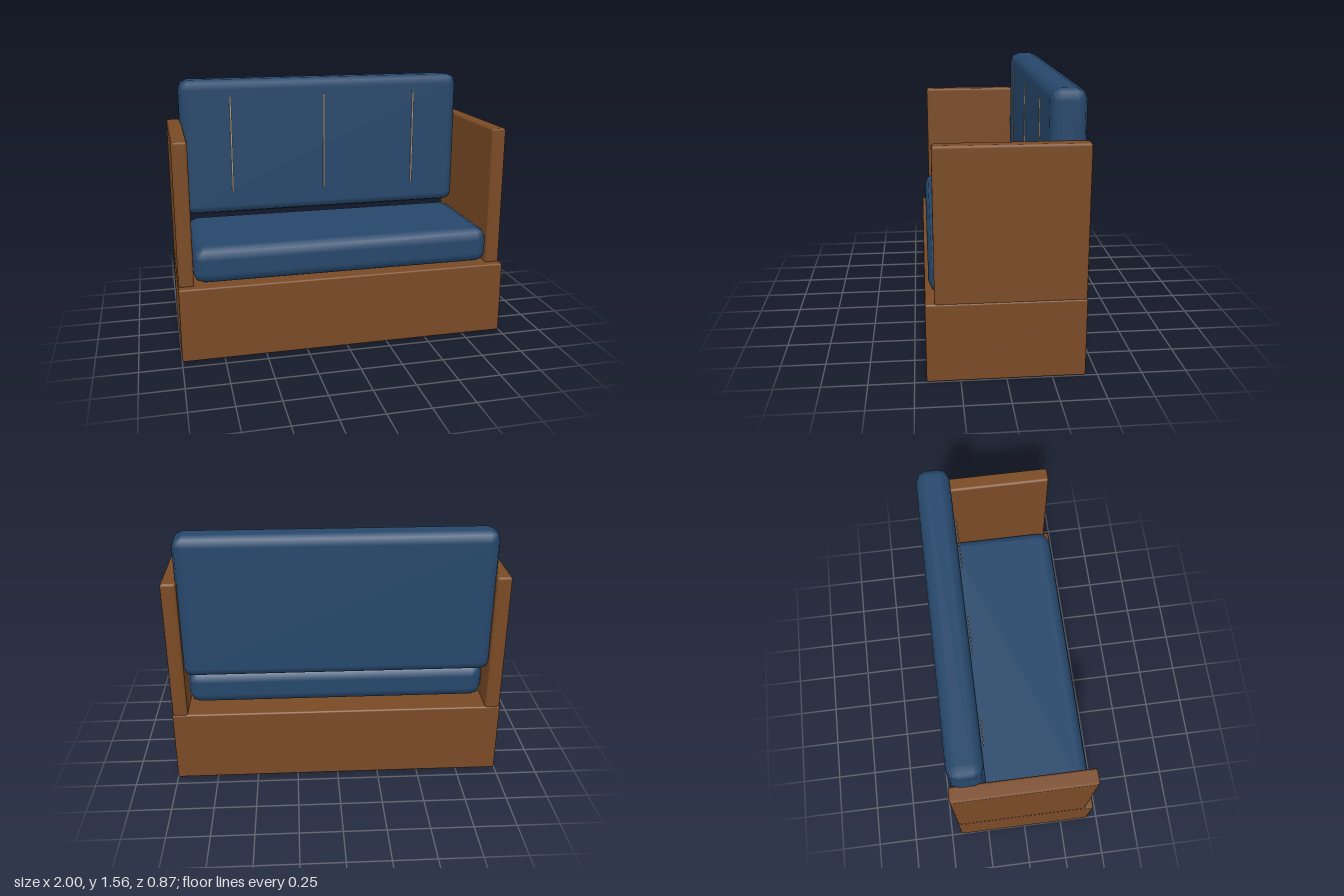
import * as THREE from 'three';
import { RoundedBoxGeometry } from 'three/addons/geometries/RoundedBoxGeometry.js';

export function createModel() {
  const group = new THREE.Group();

  const material = (name, color) => {
    const m = new THREE.MeshStandardMaterial({ color });
    m.name = name;
    return m;
  };
  const wood = material('brown wood', 0x7a4a25);
  const fabric = material('navy fabric', 0x26476b);
  const thread = material('beige thread', 0xa89c8a);

  // Box with softened edges, given by its extents [min, max] on each axis
  const block = (name, mat, [x0, x1], [y0, y1], [z0, z1], radius, segments = 1) => {
    const size = [x1 - x0, y1 - y0, z1 - z0];
    const geometry = radius
      ? new RoundedBoxGeometry(...size, segments, radius)
      : new THREE.BoxGeometry(...size);
    const mesh = new THREE.Mesh(geometry, mat);
    mesh.name = name;
    mesh.position.set((x0 + x1) / 2, (y0 + y1) / 2, (z0 + z1) / 2);
    group.add(mesh);
  };

  // Solid plinth
  block('base', wood, [-1, 1], [0, 0.45], [-0.435, 0.435], 0.01);

  // Side panels, set back from the front of the plinth
  block('leftArm', wood, [0.907, 0.997], [0.44, 1.3], [-0.434, 0.385], 0.015);
  block('rightArm', wood, [-0.997, -0.907], [0.44, 1.3], [-0.434, 0.385], 0.015);

  // Cushions
  block('seatCushion', fabric, [-0.91, 0.91], [0.453, 0.675], [-0.325, 0.413], 0.07);
  block('backCushion', fabric, [-0.92, 0.92], [0.693, 1.563], [-0.425, -0.226], 0.06);

  // Vertical seams just in front of the back cushion
  for (const x of [-0.603, 0, 0.603]) {
    block('seam', thread, [x - 0.006, x + 0.006], [0.845, 1.465], [-0.218, -0.211]);
  }

  return group;
}
